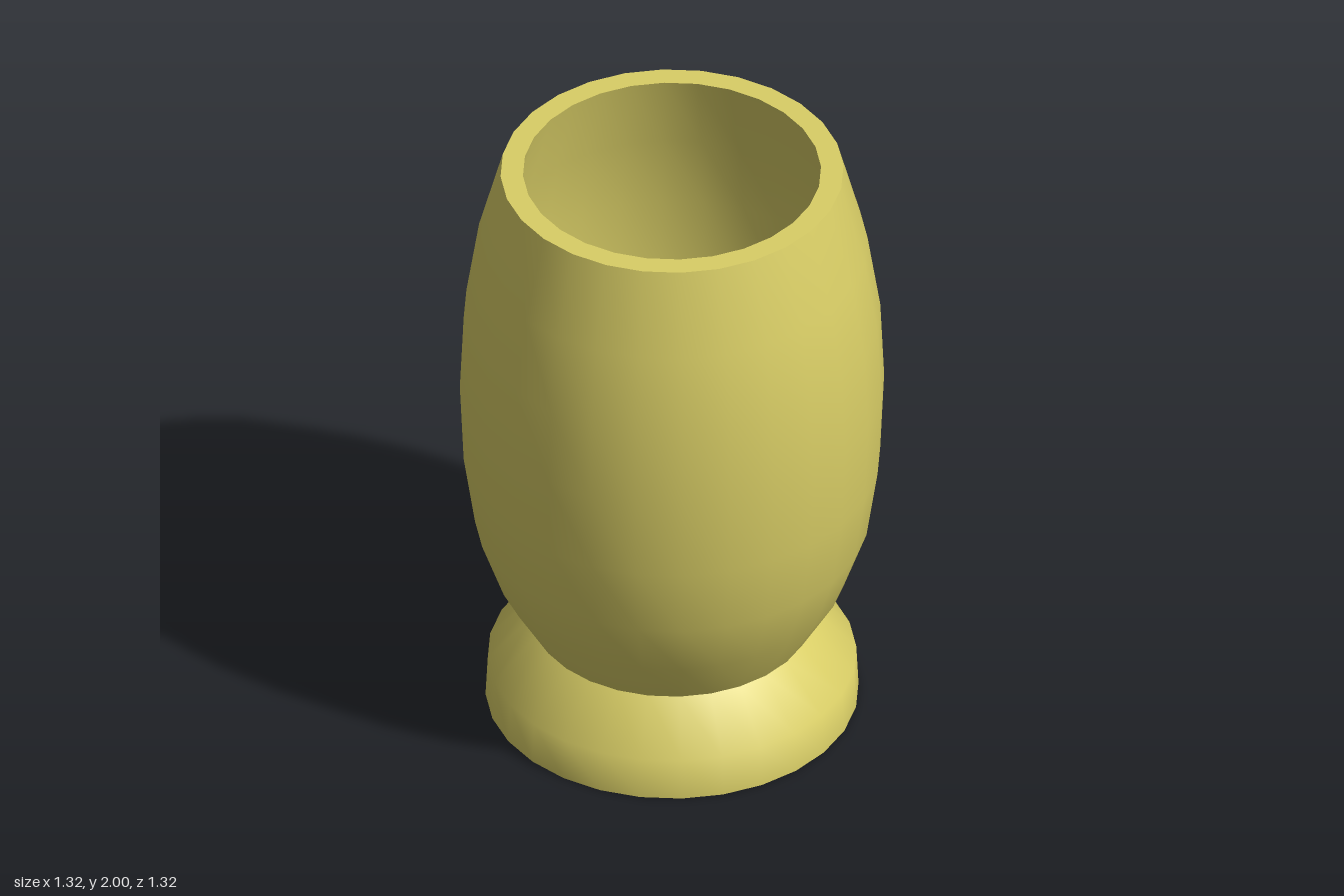
import * as THREE from 'three';

const SIDES = 28;

export function createModel() {
  const model = new THREE.Group();
  model.name = 'footedCup';
  const material = new THREE.MeshStandardMaterial({ color: 0xd9ce66 });

  // One smooth turned surface; separate surfaces meet in sharp edges.
  function turn(name, profile) {
    const points = profile.map(([r, y]) => new THREE.Vector2(r, y));
    const mesh = new THREE.Mesh(new THREE.LatheGeometry(points, SIDES), material);
    mesh.name = name;
    model.add(mesh);
  }

  // Barrel-shaped outer wall, from neck to rim
  const outer = [
    [0.44, 0.29], [0.545, 0.47], [0.615, 0.67], [0.65, 0.91], [0.662, 1.19],
    [0.65, 1.46], [0.61, 1.72], [0.535, 2],
  ];
  // Inner wall follows the outer one at an even thickness, from rim to floor
  const inner = outer.map(([r, y]) => [r - 0.07, y]).reverse();
  inner[inner.length - 1] = [0.375, 0.3];

  // Foot with a sloping shoulder
  turn('footUnderside', [[0, 0], [0.582, 0]]);
  turn('foot', [[0.582, 0], [0.575, 0.14], [0.44, 0.29]]);

  // Cup
  turn('outerWall', outer);
  turn('rim', [[0.535, 2], [0.465, 2]]);
  turn('innerWall', inner);
  turn('cupFloor', [[0.375, 0.3], [0, 0.3]]);

  return model;
}
